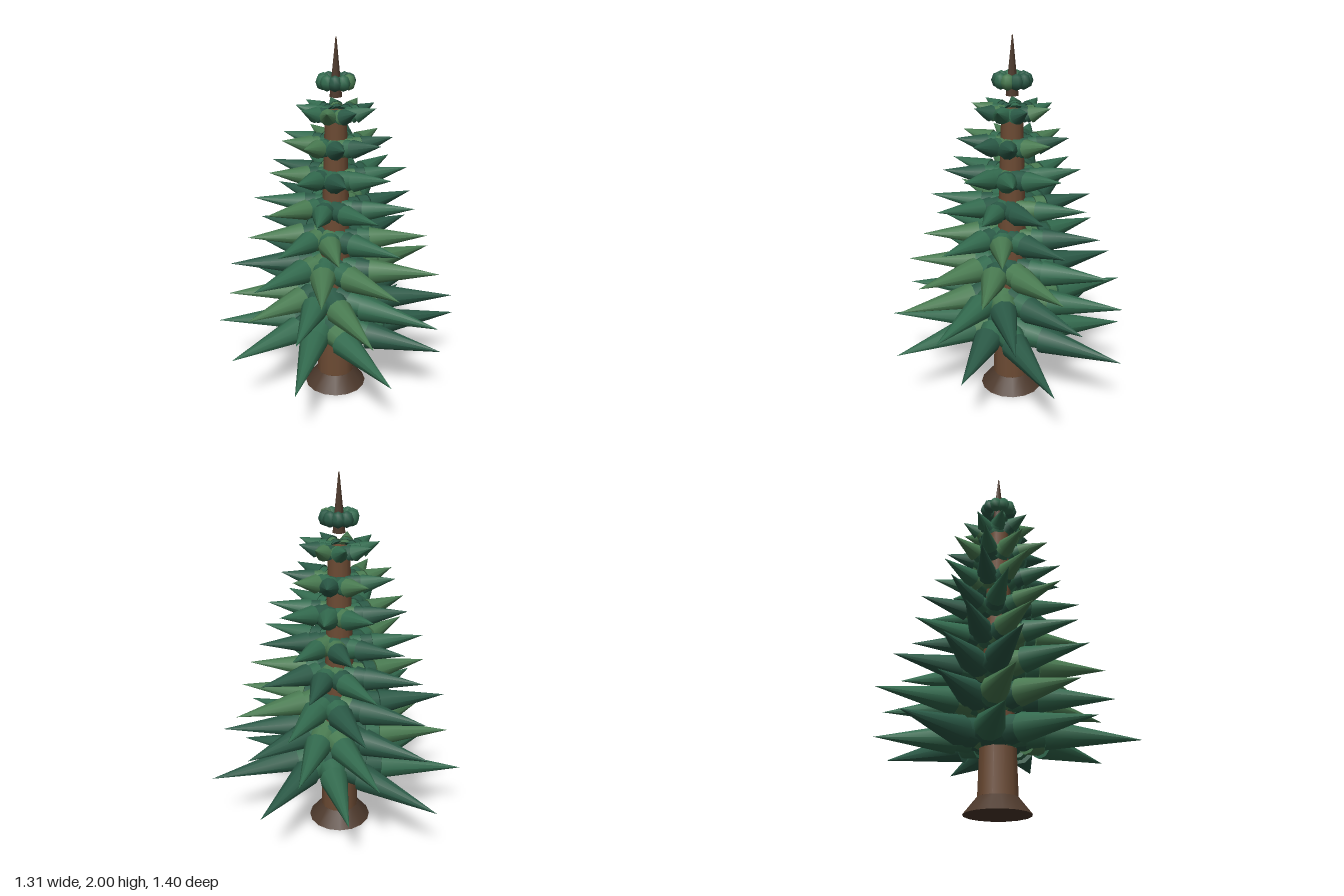
import * as THREE from 'three';

const mat = (color) => new THREE.MeshStandardMaterial({ color });
const bark = mat(0x6b4a33), darkBark = mat(0x4d392c);
const greens = [mat(0x2b5a47), mat(0x336b4f), mat(0x4a7c52)];

// small seeded generator
let seed = 11;
const rand = () => (seed = (seed * 16807) % 2147483647) / 2147483647;
const pickGreen = () => greens[Math.floor(rand() * 2.5)];

function add(parent, name, geometry, material, y = 0) {
  const mesh = new THREE.Mesh(geometry, material);
  mesh.name = name;
  mesh.position.y = y;
  parent.add(mesh);
  return mesh;
}

// cone from its base centre to its tip
function needleCone(parent, name, from, to, radius) {
  const dir = to.clone().sub(from);
  const length = dir.length();
  const geometry = new THREE.ConeGeometry(radius, length, 10);
  geometry.translate(0, length / 2, 0);
  const mesh = add(parent, name, geometry, pickGreen());
  mesh.position.copy(from);
  mesh.quaternion.setFromUnitVectors(new THREE.Vector3(0, 1, 0), dir.normalize());
}

// tiers from bottom to top: ring bottom, ring top, tip height, reach, count, first angle
const tiers = [
  { low: 0.305, high: 0.48, tip: 0.355, reach: [0.64, 0.69, 0.73, 0.67, 0.69, 0.72, 0.63, 0.69, 0.73], count: 9, start: 4 },
  { low: 0.50, high: 0.655, tip: 0.565, reach: [0.67, 0.64, 0.61, 0.57, 0.61, 0.59, 0.67, 0.63, 0.59, 0.66], count: 10, start: 15 },
  { low: 0.68, high: 0.83, tip: 0.77, reach: 0.575, count: 9, start: 35 },
  { low: 0.865, high: 1.0, tip: 0.955, reach: 0.49, count: 9, start: 26 },
  { low: 1.045, high: 1.165, tip: 1.145, reach: 0.445, count: 9, start: 0 },
  { low: 1.215, high: 1.335, tip: 1.325, reach: 0.365, count: 9, start: 20 },
  { low: 1.39, high: 1.50, tip: 1.49, reach: 0.3, count: 9, start: 20 },
  { low: 1.565, high: 1.66, tip: 1.655, reach: 0.215, count: 9, start: 0 },
];

export function createModel() {
  const tree = new THREE.Group();
  tree.name = 'pineTree';
  tree.position.set(0.007, 0, -0.026);

  // trunk, flared foot and bare tip
  add(tree, 'trunkFoot', new THREE.CylinderGeometry(0.106, 0.175, 0.085, 16), darkBark, 0.0425);
  add(tree, 'trunk', new THREE.CylinderGeometry(0.057, 0.106, 1.54, 12), bark, 0.855);
  add(tree, 'treeTip', new THREE.CylinderGeometry(0.003, 0.035, 0.3, 8), darkBark, 1.85);

  // each branch is three overlapping cones, all swept slightly sideways
  tiers.forEach((t, i) => {
    const ring = new THREE.Group();
    ring.name = `branchTier${i + 1}`;
    tree.add(ring);
    const mid = (t.low + t.high) / 2;
    const shift = (t.tip - mid) * (i < 4 ? 0.25 : 0.12);
    const radius = (t.high - t.low) / 2 - Math.abs(shift);
    for (let k = 0; k < t.count; k++) {
      const branch = new THREE.Group();
      branch.name = 'branch';
      branch.rotation.y = -THREE.MathUtils.degToRad(t.start + (k * 360) / t.count);
      ring.add(branch);
      const reach = Array.isArray(t.reach) ? t.reach[k] : t.reach * (0.97 + 0.06 * rand());
      ['innerNeedles', 'middleNeedles', 'outerNeedles'].forEach((name, j) => {
        const f = j / 2;
        const sweep = reach * 0.075;
        const base = new THREE.Vector3(0.065 + reach * 0.25 * f, mid + shift * (2 * f - 1), sweep);
        const tip = new THREE.Vector3(reach * (0.6 + 0.4 * f), t.tip, sweep * 0.6 * (1 - f));
        needleCone(branch, name, base, tip, radius);
      });
    }
  });

  // crown of small faceted tufts
  const crown = new THREE.Group();
  crown.name = 'crown';
  tree.add(crown);
  for (let k = 0; k < 10; k++) {
    const angle = (k * Math.PI * 2) / 10;
    const tuft = add(crown, 'crownTuft', new THREE.SphereGeometry(0.037, 8, 4), pickGreen(), 1.778);
    tuft.position.x = Math.cos(angle) * 0.07;
    tuft.position.z = Math.sin(angle) * 0.07;
    tuft.rotation.y = -angle;
    tuft.scale.y = 1.15;
  }

  const model = new THREE.Group();
  model.name = 'model';
  model.add(tree);
  return model;
}
